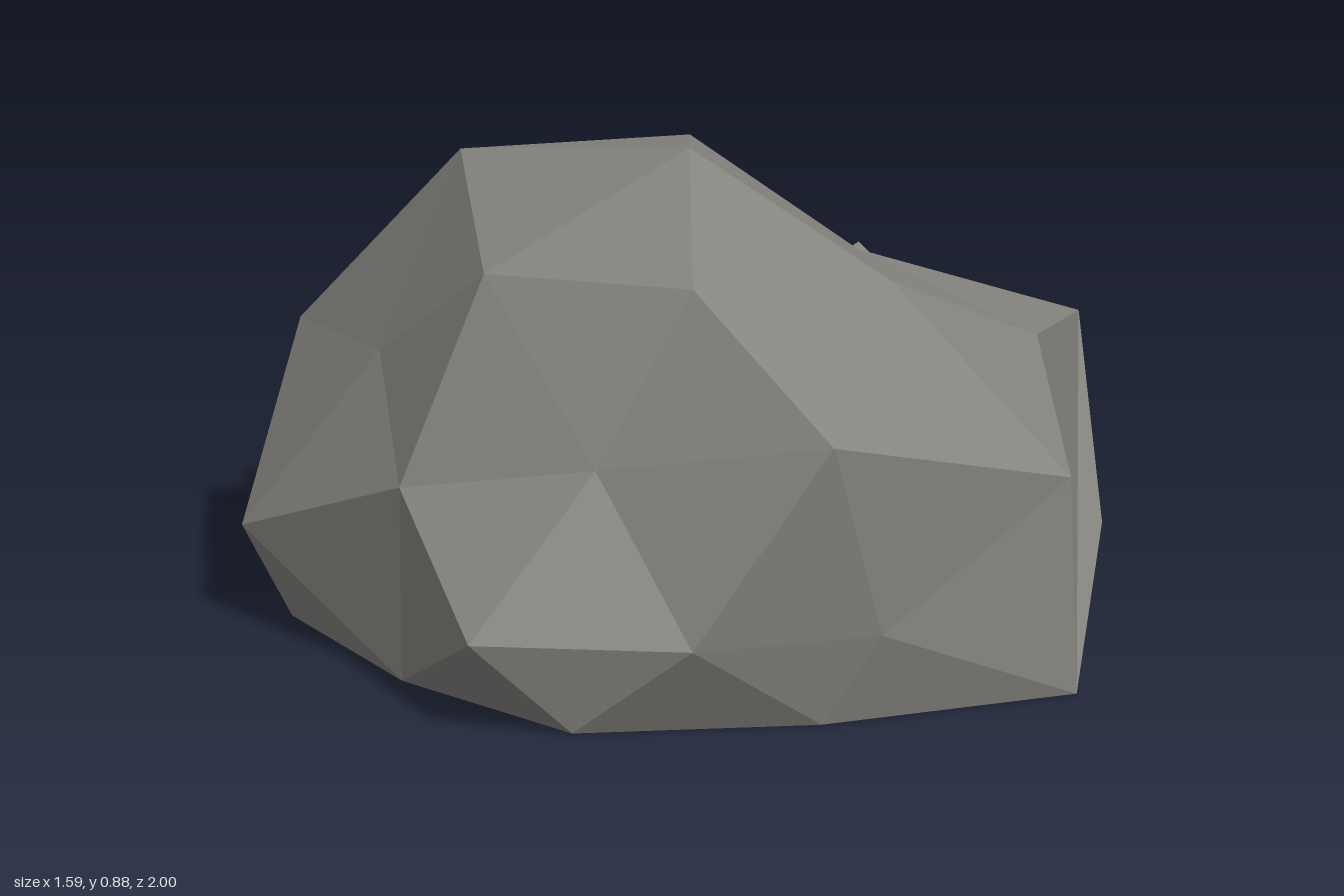
import * as THREE from 'three';
import { ConvexGeometry } from 'three/addons/geometries/ConvexGeometry.js';

const material = (name, color) => {
  const m = new THREE.MeshStandardMaterial({ color });
  m.name = name;
  return m;
};

// Stitches two closed rings into triangles; L steps along the lower ring, U along the upper
function stitch(out, lower, upper, steps) {
  let i = 0, j = 0;
  for (const step of steps) {
    const a = lower[i % lower.length], b = upper[j % upper.length];
    const c = step === 'L' ? lower[++i % lower.length] : upper[++j % upper.length];
    const same = (p, q) => p.every((v, k) => v === q[k]);
    if (!same(a, b) && !same(b, c) && !same(a, c)) out.push(...a, ...b, ...c);
  }
}

// Boulder cross-sections, from the ground to the peak
function boulderGeometry() {
  const base = [[0.64, 0, 0.75], [0.15, 0, 0.9], [-0.31, 0, 0.9], [-0.57, 0, 0.5],
    [-0.71, 0, 0.03], [-0.58, 0, -0.47], [0, 0, -0.5], [0.5, 0, -0.22]];
  const low = [base[0], [0.26, 0.17, 0.92], [-0.1, 0.17, 0.99], [-0.5, 0.17, 0.89], base[3],
    [-0.8, 0.17, 0.01], base[5], [-0.22, 0.17, -0.56], [0.16, 0.17, -1], [0.59, 0.17, -0.77], [0.76, 0.17, 0.2]];
  const middle = [[0.63, 0.41, 0.75], [0.16, 0.55, 1], [-0.24, 0.44, 0.7], [-0.57, 0.355, 0.46],
    [-0.55, 0.5, 0.04], [-0.62, 0.41, -0.53], [-0.1, 0.465, -0.6], [0.3, 0.475, -0.53],
    [0.79, 0.42, -0.35], [0.64, 0.53, 0.2]];
  const high = [[0.34, 0.71, 0.45], [-0.05, 0.755, 0.62], [-0.4, 0.725, 0.355],
    [-0.36, 0.79, -0.27], [0.08, 0.765, -0.4], [0.35, 0.62, -0.1]];
  const out = [];
  stitch(out, [[0, 0, 0.2]], base, 'U'.repeat(8));
  stitch(out, base, low, 'ULULUULULLUULUULUUL');
  stitch(out, low, middle, 'LULULULLUULLULULULLUU');
  stitch(out, middle, high, 'LULULLULLULULLUL');
  stitch(out, high, [[0.01, 0.885, 0.12]], 'L'.repeat(6));
  const g = new THREE.BufferGeometry();
  g.setAttribute('position', new THREE.Float32BufferAttribute(out, 3));
  g.computeVertexNormals(); // unshared corners give flat facets
  return g;
}

const stoneGeometry = (points) => new ConvexGeometry(points.map((p) => new THREE.Vector3(...p)));

export function createModel() {
  const rock = material('grey rock', 0x86847f);
  const dark = material('dark entrance', 0x4c4852);
  const wood = material('brown timber', 0x7a5d43);
  const model = new THREE.Group();
  model.name = 'rockWithEntrance';
  const add = (name, geometry, mat, x = 0, y = 0, z = 0) => {
    const mesh = new THREE.Mesh(geometry, mat);
    mesh.name = name;
    mesh.position.set(x, y, z);
    model.add(mesh);
  };

  add('boulder', boulderGeometry(), rock);

  // Entrance block set into the back, with a post at each side
  add('entrance', new THREE.BoxGeometry(0.41, 0.45, 0.2), dark, 0.015, 0.225, -0.58);
  for (const [name, x] of [['rightPost', -0.205], ['leftPost', 0.235]]) {
    add(name, new THREE.BoxGeometry(0.03, 0.44, 0.03), wood, x, 0.22, -0.695);
  }

  // Loose stones around the entrance
  add('rightStone', stoneGeometry([[-0.28, 0.43, -0.71], [-0.4, 0.42, -0.62], [-0.55, 0.4, -0.66],
    [-0.56, 0.14, -0.48], [-0.51, 0, -0.65], [-0.37, 0.09, -0.86], [-0.2, 0.2, -0.68],
    [-0.24, 0, -0.68], [-0.3, 0.3, -0.5], [-0.55, 0, -0.48]]), rock);
  add('upperStone', stoneGeometry([[0.3, 0.39, -0.69], [0.41, 0.26, -0.76], [0.53, 0.26, -0.68],
    [0.53, 0.38, -0.53], [0.33, 0.46, -0.515], [0.43, 0.47, -0.69], [0.42, 0.22, -0.6]]), rock);
  add('lowerStone', stoneGeometry([[0.44, 0.13, -0.66], [0.415, 0, -0.45], [0.25, 0.1, -0.78],
    [0.21, 0, -0.51], [0.3, 0, -0.7], [0.42, 0.05, -0.72]]), rock);

  return model;
}
